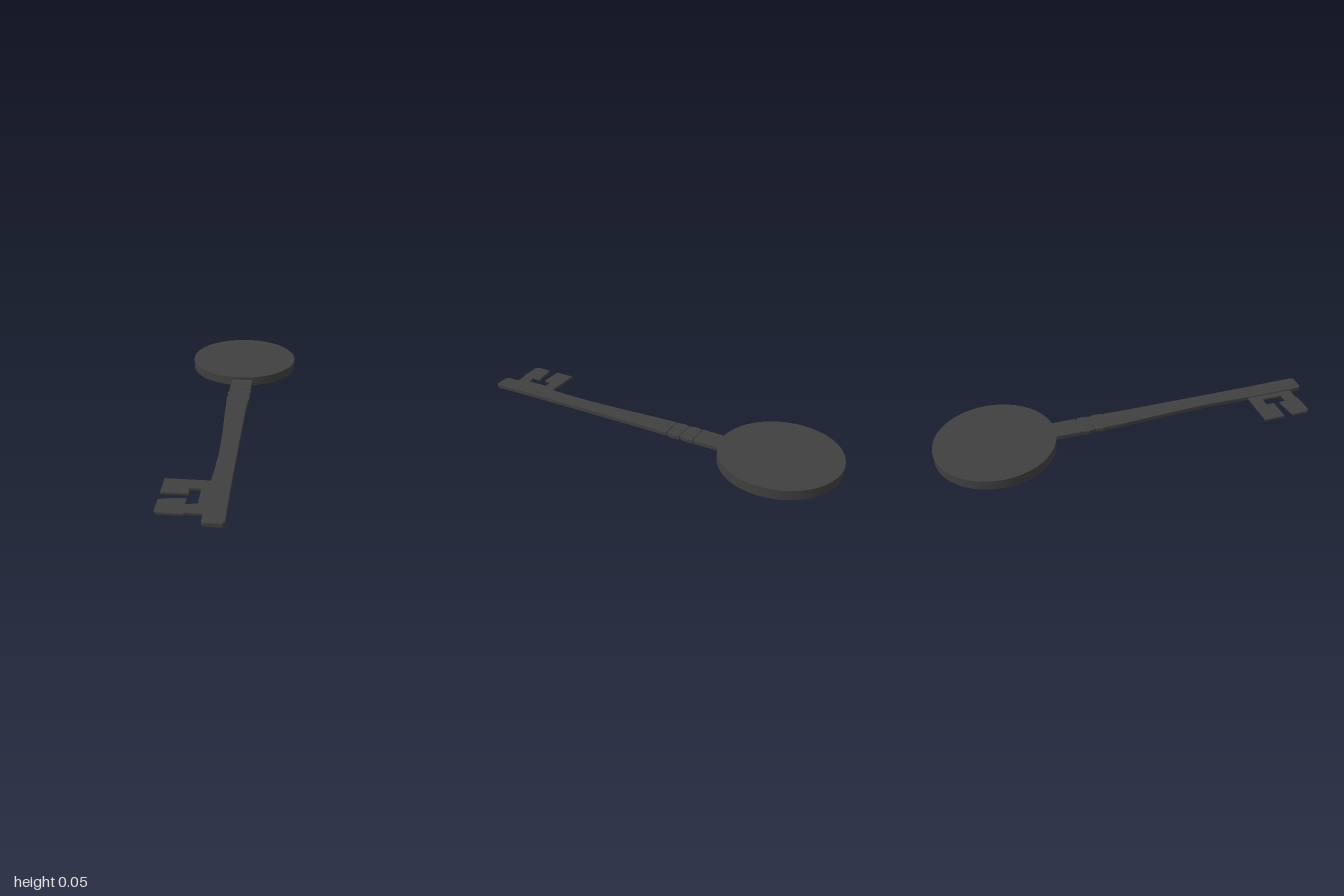
import * as THREE from 'three';

export function createModel() {
  const key = new THREE.Group();
  key.name = 'key';
  const metal = new THREE.MeshStandardMaterial({ color: 0x404040 });
  metal.name = 'darkMetal';

  // Flat plate from an outline of [x, z] points, with slightly rounded edges
  function plate(name, points, bottom, top, bevel) {
    const shape = new THREE.Shape(points.map(([x, z]) => new THREE.Vector2(x, -z)));
    const geometry = new THREE.ExtrudeGeometry(shape, {
      depth: top - bottom - 2 * bevel, bevelEnabled: bevel > 0,
      bevelThickness: bevel, bevelSize: bevel, bevelOffset: -bevel, bevelSegments: 2,
    });
    geometry.rotateX(-Math.PI / 2);
    geometry.translate(0, bottom + bevel, 0);
    const mesh = new THREE.Mesh(geometry, metal);
    mesh.name = name;
    key.add(mesh);
  }

  // Round bow
  const bow = new THREE.Mesh(new THREE.CylinderGeometry(0.305, 0.305, 0.05, 48), metal);
  bow.name = 'bow';
  bow.position.set(0, 0.025, -0.695);
  key.add(bow);

  // Neck, and two collars separated by grooves
  plate('neck', [[-0.045, -0.42], [0.07, -0.42], [0.07, -0.265], [-0.05, -0.265]], 0.01, 0.035, 0.004);
  [-0.26, -0.185].forEach((z, i) => {
    plate('collar' + (i + 1), [
      [-0.047, z], [0.07, z], [0.072, z + 0.035], [0.066, z + 0.068],
      [-0.047, z + 0.068], [-0.053, z + 0.035],
    ], 0.01, 0.035, 0.004);
  });
  plate('grooveCore', [[-0.042, -0.28], [0.062, -0.28], [0.062, -0.09], [-0.042, -0.09]], 0.014, 0.031, 0);

  // Tapering shank with a blunt, rounded tip
  plate('shank', [
    [-0.05, -0.112], [0.066, -0.112], [0.063, 0], [0.06, 0.3], [0.058, 0.7],
    [0.06, 0.985], [0.05, 1], [-0.025, 1], [-0.037, 0.985], [-0.036, 0.72],
    [-0.03, 0.6], [-0.027, 0.45], [-0.032, 0.25], [-0.043, 0.05],
  ], 0.01, 0.035, 0.004);

  // Bit: two teeth around a stepped notch
  plate('bit', [
    [-0.02, 0.68], [-0.24, 0.68], [-0.24, 0.79], [-0.118, 0.79], [-0.118, 0.748],
    [-0.068, 0.748], [-0.068, 0.862], [-0.118, 0.868], [-0.118, 0.826],
    [-0.215, 0.836], [-0.24, 0.845], [-0.24, 0.925], [-0.225, 0.938],
    [-0.12, 0.938], [-0.1, 0.93], [-0.02, 0.93],
  ], 0.013, 0.028, 0.003);

  return key;
}
